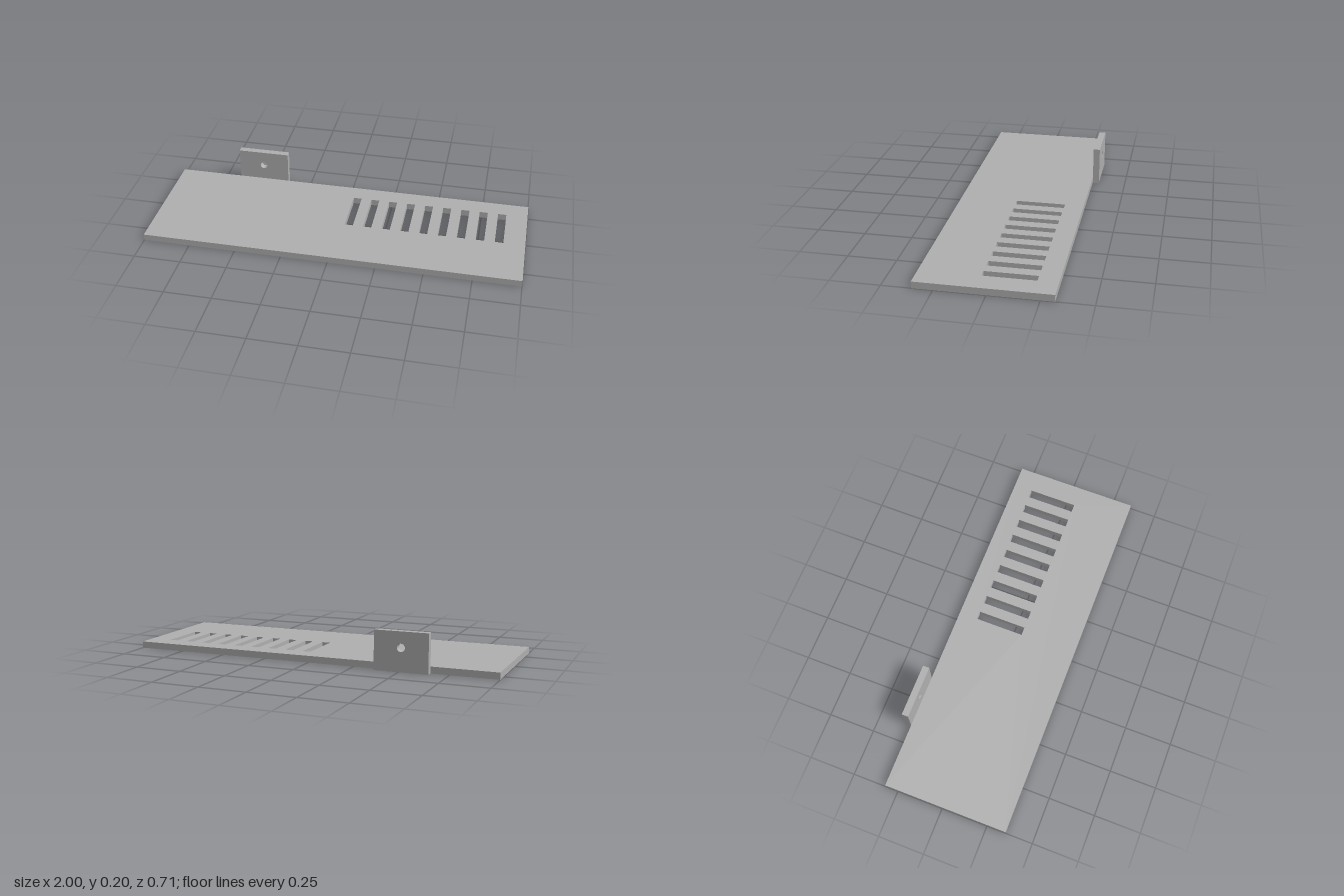
import * as THREE from 'three';

const T = 0.035; // sheet thickness

// Rectangle outline from two corners
function rect(path, x0, y0, x1, y1) {
  path.moveTo(x0, y0);
  path.lineTo(x1, y0);
  path.lineTo(x1, y1);
  path.lineTo(x0, y1);
  path.closePath();
  return path;
}

function sheet(shape, name, material) {
  const geometry = new THREE.ExtrudeGeometry(shape, { depth: T, bevelEnabled: false, curveSegments: 16 });
  const mesh = new THREE.Mesh(geometry, material);
  mesh.name = name;
  return mesh;
}

export function createModel() {
  const group = new THREE.Group();
  group.name = 'ventedBracket';
  const grey = new THREE.MeshStandardMaterial({ color: 0xb0b0b0 });
  grey.name = 'plain grey';

  // Base plate with a row of nine vent slots, drawn flat and laid down
  const plate = rect(new THREE.Shape(), -1, -0.353, 1, 0.318);
  for (let i = 0; i < 9; i++) {
    const x = 0.032 + i * 0.101;
    plate.holes.push(rect(new THREE.Path(), x, -0.047, x + 0.045, 0.217));
  }
  const basePlate = sheet(plate, 'basePlate', grey);
  basePlate.geometry.rotateX(-Math.PI / 2);
  group.add(basePlate);

  // Upright mounting tab on the back edge with a screw hole
  const tab = rect(new THREE.Shape(), -0.655, 0, -0.372, 0.205);
  tab.holes.push(new THREE.Path().absarc(-0.513, 0.123, 0.021, 0, Math.PI * 2, true));
  const mountingTab = sheet(tab, 'mountingTab', grey);
  mountingTab.position.z = -0.353;
  group.add(mountingTab);

  return group;
}
